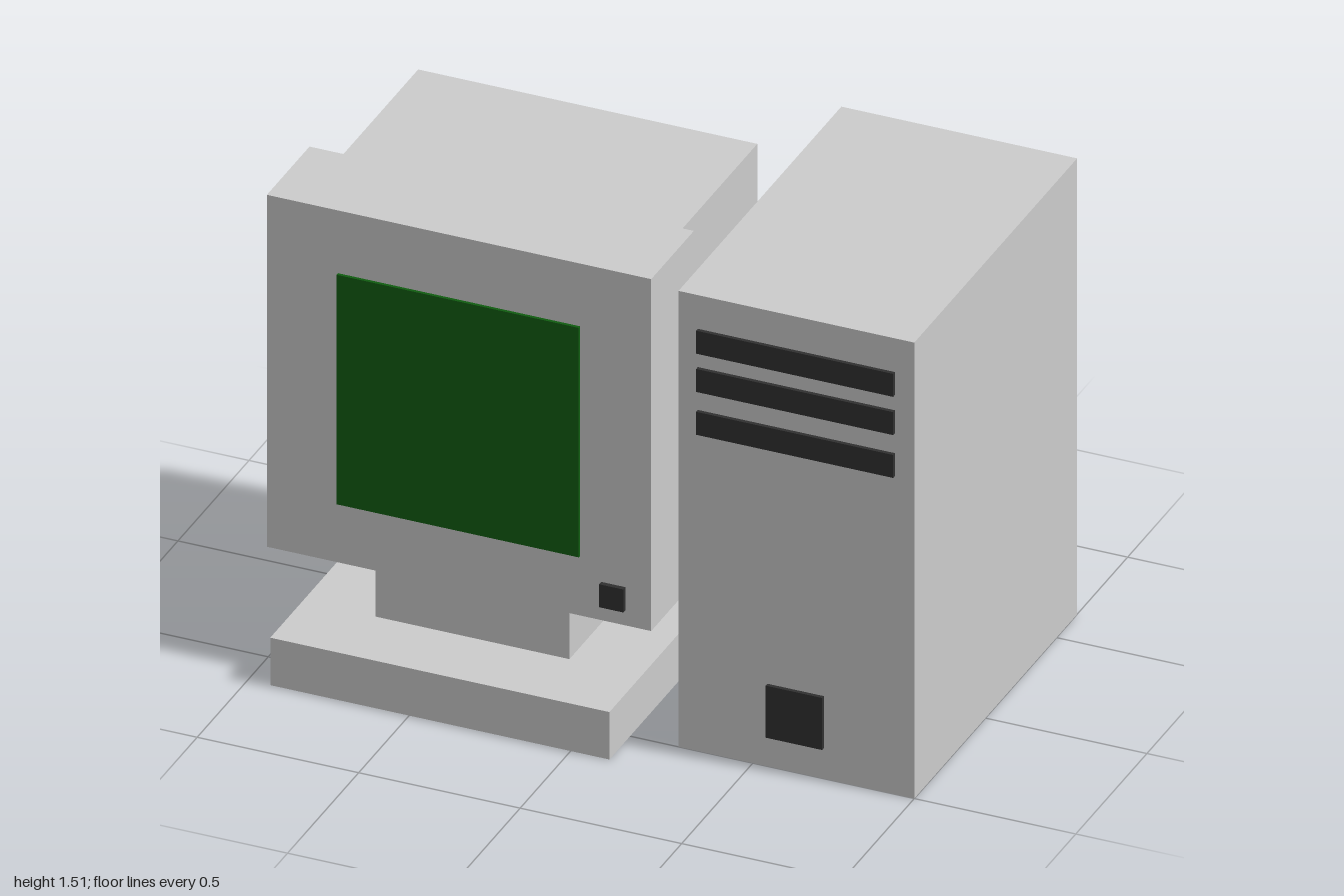
import * as THREE from 'three';

export function createModel() {
  const group = new THREE.Group();
  const grey = new THREE.MeshStandardMaterial({ color: 0xcccccc });
  const green = new THREE.MeshStandardMaterial({ color: 0x105c10 });
  const black = new THREE.MeshStandardMaterial({ color: 0x303030 });

  // Box given by its [min, max] range on each axis
  function box(name, material, [x0, x1], [y0, y1], [z0, z1], parent) {
    const mesh = new THREE.Mesh(new THREE.BoxGeometry(x1 - x0, y1 - y0, z1 - z0), material);
    mesh.position.set((x0 + x1) / 2, (y0 + y1) / 2, (z0 + z1) / 2);
    mesh.name = name;
    parent.add(mesh);
  }

  // Monitor on its stand
  const monitor = new THREE.Group();
  monitor.name = 'monitor';
  box('standBase', grey, [-0.93, 0.12], [0, 0.155], [-0.41, 0.645], monitor);
  box('standNeck', grey, [-0.705, -0.105], [0.15, 0.43], [-0.185, 0.415], monitor);
  box('rearHousing', grey, [-0.93, 0.12], [0.415, 1.465], [-0.395, 0.5], monitor);
  box('frontHousing', grey, [-1, 0.19], [0.365, 1.515], [0.21, 0.51], monitor);
  box('screen', green, [-0.78, -0.03], [0.56, 1.31], [0.49, 0.52], monitor);
  box('monitorButton', black, [0.035, 0.11], [0.415, 0.49], [0.49, 0.525], monitor);

  // Computer tower
  const tower = new THREE.Group();
  tower.name = 'tower';
  box('towerCase', grey, [0.27, 1], [0, 1.49], [-0.645, 0.5], tower);
  [1.305, 1.18, 1.04].forEach((y, i) =>
    box('driveBay' + (i + 1), black, [0.33, 0.94], [y, y + 0.075], [0.48, 0.512], tower));
  box('powerButton', black, [0.545, 0.72], [0.1, 0.27], [0.48, 0.512], tower);

  group.add(monitor, tower);
  return group;
}
